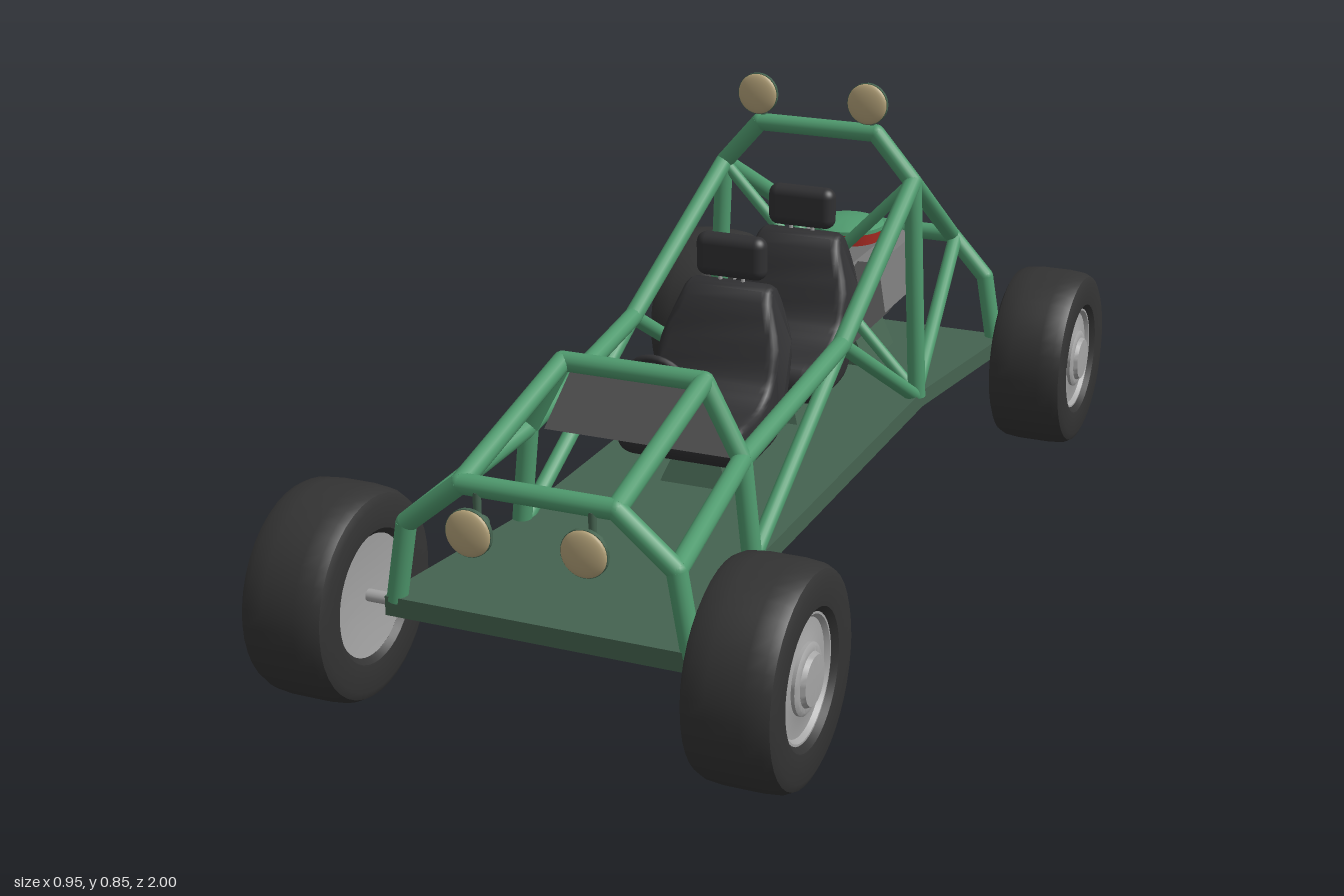
import * as THREE from 'three';
import { toCreasedNormals } from 'three/addons/utils/BufferGeometryUtils.js';
import { RoundedBoxGeometry } from 'three/addons/geometries/RoundedBoxGeometry.js';
import { ConvexGeometry } from 'three/addons/geometries/ConvexGeometry.js';

const V = (x, y, z) => new THREE.Vector3(x, y, z);

function material(name, color) {
  const m = new THREE.MeshStandardMaterial({ color });
  m.name = name;
  return m;
}

export function createModel() {
  const model = new THREE.Group();
  model.name = 'buggy';

  const frameGreen = material('frameGreen', 0x4f9a6e);
  const darkGreen = material('darkGreen', 0x456350);
  const rubber = material('rubber', 0x333333);
  const seatBlack = material('seatBlack', 0x303032);
  const rimGrey = material('rimGrey', 0xa4a4a4);
  const metalGrey = material('metalGrey', 0x7c7c7c);
  const lampTan = material('lampTan', 0xb5a37a);
  const filterRed = material('filterRed', 0xa02820);

  function add(parent, name, geometry, mat, x = 0, y = 0, z = 0) {
    const mesh = new THREE.Mesh(geometry, mat);
    mesh.name = name;
    mesh.position.set(x, y, z);
    parent.add(mesh);
    return mesh;
  }
  function group(name, parent = model) {
    const g = new THREE.Group();
    g.name = name;
    parent.add(g);
    return g;
  }
  function bar(parent, name, a, b, r, mat = frameGreen) {
    const d = b.clone().sub(a);
    const mesh = add(parent, name, new THREE.CylinderGeometry(r, r, d.length(), 16), mat);
    mesh.position.copy(a).addScaledVector(d, 0.5);
    mesh.quaternion.setFromUnitVectors(V(0, 1, 0), d.normalize());
  }
  // Bent pipe: straight runs with round joints
  function pipe(parent, name, points, r) {
    points.forEach((p, i) => {
      if (i) bar(parent, name, points[i - 1], p, r);
      if (i && i < points.length - 1) {
        add(parent, name + 'Joint', new THREE.SphereGeometry(r, 16, 10), frameGreen, p.x, p.y, p.z);
      }
    });
  }
  const lathe = (pts, n = 40) => toCreasedNormals(
    new THREE.LatheGeometry(pts.map(p => new THREE.Vector2(p[0], p[1])), n), 0.6);

  // Floor pan
  const floorShape = new THREE.Shape([
    [-0.235, -0.44], [-0.285, -0.8], [-0.285, -0.84], [0.285, -0.84], [0.285, -0.8], [0.235, -0.44],
    [0.235, 0.46], [0.285, 0.8], [0.285, 0.84], [-0.285, 0.84], [-0.285, 0.8], [-0.235, 0.46],
  ].map(p => new THREE.Vector2(...p)));
  const floor = new THREE.ExtrudeGeometry(floorShape, { depth: 0.035, bevelEnabled: false });
  floor.rotateX(Math.PI / 2);
  add(model, 'floorPan', floor, darkGreen, 0, 0.21, 0);

  // Tube frame: four hoops
  const frame = group('tubeFrame');
  const R = 0.018;
  function hoop(name, z, half) {
    const left = half.map(p => V(p[0], p[1], z));
    const right = half.map(p => V(-p[0], p[1], z)).reverse();
    pipe(frame, name, [...left, ...right], R);
  }
  hoop('frontHoop', 0.825, [[0.27, 0.2], [0.245, 0.345], [0.14, 0.432]]);
  hoop('dashHoop', 0.46, [[0.225, 0.2], [0.205, 0.39], [0.135, 0.523]]);
  hoop('rollHoop', -0.43, [[0.225, 0.2], [0.205, 0.655], [0.125, 0.747]]);
  hoop('rearHoop', -0.825, [[0.27, 0.2], [0.245, 0.345], [0.165, 0.432]]);

  // Side rails and braces
  for (const s of [1, -1]) {
    const rail = V(s * 0.215, 0.45, 0);
    pipe(frame, 'sideRail', [V(s * 0.245, 0.345, 0.825), V(s * 0.205, 0.39, 0.46), rail,
      V(s * 0.205, 0.655, -0.43), V(s * 0.165, 0.432, -0.825)], R);
    bar(frame, 'hoodRail', V(s * 0.135, 0.523, 0.46), V(s * 0.14, 0.432, 0.825), R);
    bar(frame, 'frontDiagonal', V(s * 0.222, 0.205, 0.45), rail, 0.015);
    bar(frame, 'rearDiagonal', V(s * 0.222, 0.205, -0.42), rail, 0.015);
    bar(frame, 'engineDiagonal', V(s * 0.222, 0.205, -0.43), V(s * 0.175, 0.425, -0.825), 0.015);
    bar(frame, 'crossBrace', V(s * 0.22, 0.21, -0.43), V(-s * 0.2, 0.65, -0.43), 0.012);
  }

  // Wheels and axle stubs, turned about the x axis
  const tire = lathe([[0.108, -0.066], [0.118, -0.076], [0.165, -0.08], [0.178, -0.074], [0.185, -0.06],
    [0.188, -0.03], [0.188, 0.03], [0.185, 0.06], [0.178, 0.074], [0.165, 0.08], [0.118, 0.076],
    [0.108, 0.066], [0.108, -0.066]]);
  const rim = lathe([[0, -0.06], [0.06, -0.06], [0.11, -0.066], [0.11, 0.066], [0.104, 0.066],
    [0.098, 0.058], [0.065, 0.06], [0.06, 0.062], [0, 0.062]]);
  const hub = lathe([[0.06, 0.05], [0.06, 0.068], [0.054, 0.072], [0.046, 0.072], [0.042, 0.08], [0, 0.082]]);
  for (const s of [1, -1]) {
    for (const z of [0.81, -0.81]) {
      const wheel = group('wheel');
      wheel.position.set(s * 0.395, 0.19, z);
      wheel.rotation.z = -s * Math.PI / 2;
      add(wheel, 'tire', tire, rubber);
      add(wheel, 'rim', rim, rimGrey);
      add(wheel, 'hub', hub, rimGrey);
      bar(model, 'axle', V(s * 0.25, 0.19, z), V(s * 0.34, 0.19, z), 0.011, rimGrey);
    }
  }

  // Seats: side profile extruded across, narrowing toward the shoulders
  const profile = [[0.262, 0.34], [0.165, 0.35], [0.11, 0.38], [0.075, 0.45], [0.035, 0.538], [0.008, 0.538],
    [0.014, 0.45], [0.035, 0.36], [0.075, 0.295], [0.15, 0.282], [0.235, 0.285], [0.268, 0.31]];
  const seatShape = new THREE.Shape();
  seatShape.setFromPoints(new THREE.CatmullRomCurve3(profile.map(p => V(p[0], p[1], 0)), true)
    .getPoints(48).slice(0, -1).map(p => new THREE.Vector2(p.x, p.y)));
  let seatGeo = new THREE.ExtrudeGeometry(seatShape,
    { depth: 0.2, bevelSize: 0.014, bevelThickness: 0.022, bevelSegments: 4 });
  seatGeo.translate(0, 0, -0.1).rotateY(-Math.PI / 2);
  const sp = seatGeo.attributes.position;
  for (let i = 0; i < sp.count; i++) {
    const t = THREE.MathUtils.smoothstep(sp.getY(i), 0.43, 0.57);
    sp.setX(i, sp.getX(i) * (1 - 0.3 * t));
  }
  seatGeo = toCreasedNormals(seatGeo, 0.7);
  const pedestal = new THREE.CylinderGeometry(0.055, 0.095, 0.075, 4, 1).rotateY(Math.PI / 4).toNonIndexed();
  pedestal.computeVertexNormals();

  for (const z of [0, -0.365]) {
    const seat = group('seat');
    seat.position.z = z;
    add(seat, 'seatShell', seatGeo, seatBlack);
    add(seat, 'headrest', new RoundedBoxGeometry(0.14, 0.084, 0.042, 5, 0.02), seatBlack, 0, 0.604, 0.016);
    add(seat, 'seatPedestal', pedestal, darkGreen, 0, 0.245, 0.14);
    for (const x of [0.023, -0.023]) {
      bar(seat, 'headrestPost', V(x, 0.53, 0.02), V(x, 0.58, 0.017), 0.004, rimGrey);
    }
  }

  // Dashboard wedge
  const dash = [];
  for (const s of [1, -1]) {
    dash.push(V(s * 0.12, 0.51, 0.455), V(s * 0.18, 0.385, 0.45), V(s * 0.14, 0.38, 0.39), V(s * 0.12, 0.5, 0.44));
  }
  add(model, 'dashboard', new ConvexGeometry(dash), metalGrey);

  // Steering wheel, leaning forward at the top
  const steering = group('steeringWheel');
  steering.position.set(0, 0.465, 0.355);
  steering.rotation.x = 0.34;
  add(steering, 'steeringRim', new THREE.TorusGeometry(0.055, 0.007, 10, 32), seatBlack);
  bar(steering, 'steeringSpoke', V(-0.053, 0, 0), V(0.053, 0, 0), 0.005, seatBlack);
  bar(steering, 'steeringSpoke', V(0, 0, 0), V(0, -0.053, 0), 0.005, seatBlack);
  bar(steering, 'steeringColumn', V(0, 0, -0.006), V(0, 0, 0.09), 0.006, seatBlack);

  // Engine: V block with two heads and a centre manifold
  const engine = group('engine');
  engine.position.z = -0.615;
  function prism(name, pts, depth, mat) {
    const geo = new THREE.ExtrudeGeometry(new THREE.Shape(pts.map(p => new THREE.Vector2(...p))),
      { depth, bevelEnabled: false });
    add(engine, name, geo.translate(0, 0, -depth / 2), mat);
  }
  prism('engineBlock', [[-0.055, 0.265], [0.055, 0.265], [0.11, 0.345], [0.085, 0.425], [-0.085, 0.425],
    [-0.11, 0.345]], 0.24, metalGrey);
  for (const s of [1, -1]) {
    const head = [[0.06, 0.44], [0.095, 0.335], [0.132, 0.35], [0.115, 0.455], [0.07, 0.455]];
    prism('cylinderHead', head.map(p => [s * p[0], p[1]]), 0.25, metalGrey);
  }
  add(engine, 'manifold', new THREE.BoxGeometry(0.065, 0.045, 0.22), metalGrey, 0, 0.44, 0);
  prism('engineMount', [[-0.08, 0.21], [0.08, 0.21], [0.05, 0.275], [-0.05, 0.275]], 0.17, darkGreen);

  // Air filter
  add(engine, 'filterNeck', new THREE.CylinderGeometry(0.035, 0.035, 0.03, 24), metalGrey, 0, 0.46, -0.003);
  add(engine, 'filterElement', new THREE.CylinderGeometry(0.07, 0.07, 0.03, 32), filterRed, 0, 0.478, -0.003);
  add(engine, 'filterCap', lathe([[0, 0.488], [0.077, 0.488], [0.077, 0.496], [0.06, 0.504], [0, 0.508]]),
    frameGreen, 0, 0, -0.003);

  // Lamps: tapered housing with a domed lens facing forward
  const housing = lathe([[0, -0.034], [0.013, -0.034], [0.017, -0.012], [0.036, 0.004], [0.042, 0.01],
    [0.042, 0.018], [0, 0.018]], 28).rotateX(Math.PI / 2);
  const lens = new THREE.SphereGeometry(0.041, 28, 8, 0, Math.PI * 2, 0, Math.PI / 2)
    .scale(1, 0.28, 1).rotateX(Math.PI / 2);
  function lamp(x, y, z, stemY) {
    const g = group('lamp');
    g.position.set(x, y, z);
    add(g, 'lampHousing', housing, darkGreen);
    add(g, 'lampLens', lens, lampTan, 0, 0, 0.018);
    bar(g, 'lampStem', V(0, 0, -0.016), V(0, stemY, -0.016), 0.007, darkGreen);
  }
  for (const s of [1, -1]) {
    lamp(s * 0.117, 0.813, -0.414, -0.06);
    lamp(s * 0.104, 0.367, 0.852, 0.06);
  }
  return model;
}
